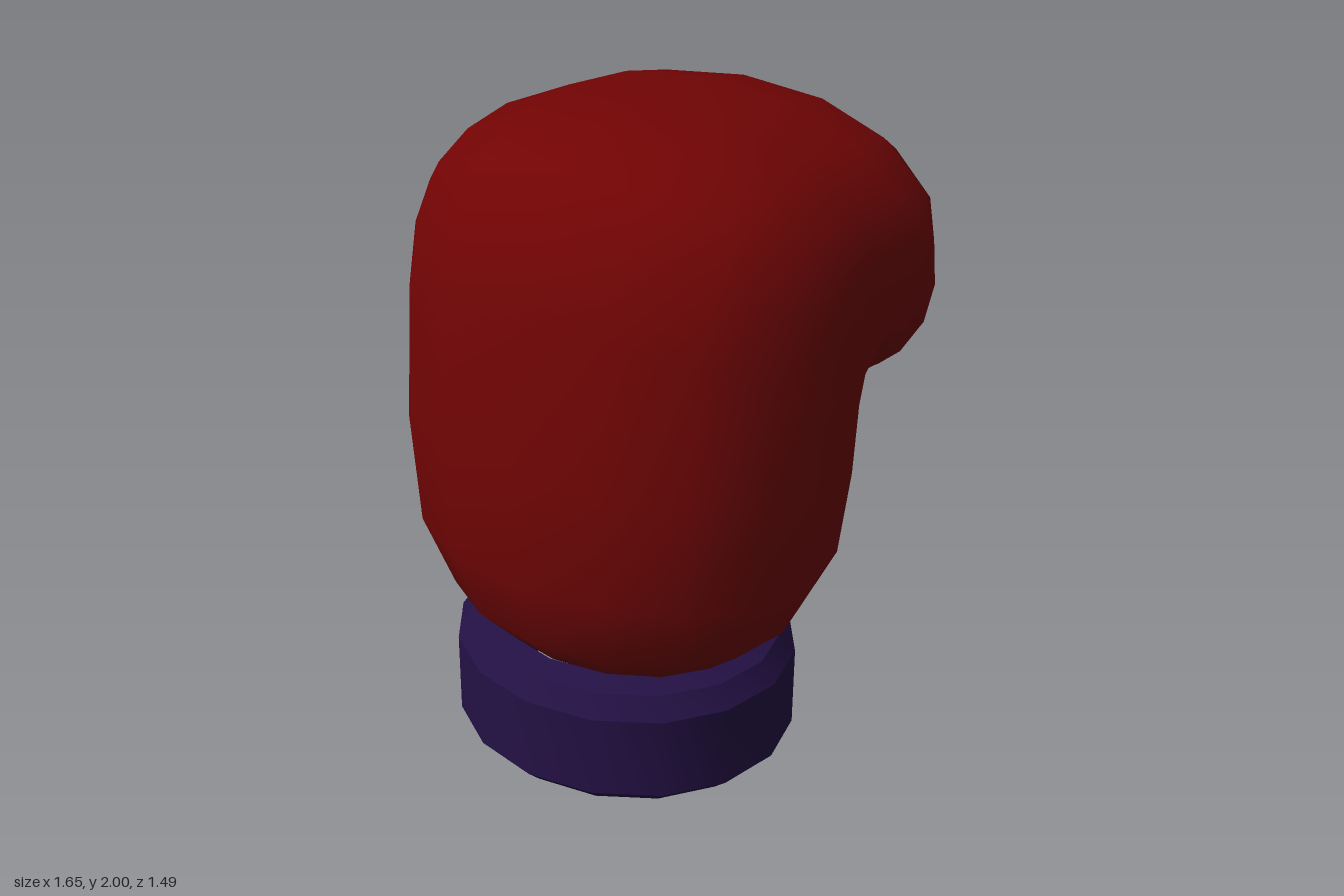
import * as THREE from 'three';
import { toCreasedNormals } from 'three/addons/utils/BufferGeometryUtils.js';

const V = (x, y, z) => new THREE.Vector3(x, y, z);
const SIDES = 16;

// Smooth skin over a list of closed rings, capped at both ends
function loft(rings, startTip, endTip) {
  const n = rings[0].length, index = [];
  const points = [...rings.flat(), startTip, endTip];
  const start = points.length - 2, end = points.length - 1;
  for (let r = 0; r < rings.length - 1; r++) {
    for (let i = 0; i < n; i++) {
      const j = (i + 1) % n;
      const a = r * n + i, b = r * n + j, c = a + n, d = b + n;
      index.push(a, c, b, b, c, d);
    }
  }
  const last = (rings.length - 1) * n;
  for (let i = 0; i < n; i++) {
    const j = (i + 1) % n;
    index.push(start, i, j, end, last + j, last + i);
  }
  const geometry = new THREE.BufferGeometry().setFromPoints(points);
  geometry.setIndex(index);
  geometry.computeVertexNormals();
  return geometry;
}

// Oval around a centre, spanned by two half axes; powers above 2 square off its +v and -v halves
function ring(centre, u, v, upper = 2, lower = 2) {
  return Array.from({ length: SIDES }, (_, i) => {
    const a = (i / SIDES) * Math.PI * 2;
    const p = Math.sin(a) < -1e-6 ? lower : upper;
    const bend = (t) => Math.sign(t) * Math.abs(t) ** (2 / p);
    return centre.clone().addScaledVector(u, bend(Math.cos(a))).addScaledVector(v, bend(Math.sin(a)));
  });
}

// Mitt sections fan around the palm fold:
// [outer z, outer y, inner z, inner y, x min, x max, squareness of the palm side]
function mittGeometry() {
  const sections = [
    [0.56, 0.39, -0.19, 0.39, -0.30, 0.57, 2],
    [0.66, 0.50, -0.28, 0.50, -0.42, 0.70, 2.1],
    [0.74, 0.74, -0.31, 0.68, -0.51, 0.80, 2.3],
    [0.745, 1.10, -0.28, 0.92, -0.54, 0.825, 2.7],
    [0.71, 1.54, -0.24, 1.08, -0.53, 0.825, 3.2],
    [0.64, 1.77, -0.21, 1.15, -0.53, 0.825, 3.8],
    [0.52, 1.90, -0.20, 1.19, -0.54, 0.825, 4.5],
    [0.37, 1.97, -0.20, 1.22, -0.54, 0.825, 5],
    [0.15, 2.00, -0.21, 1.24, -0.55, 0.825, 5],
    [-0.20, 1.985, -0.23, 1.24, -0.55, 0.82, 5],
    [-0.41, 1.945, -0.25, 1.22, -0.54, 0.82, 5],
    [-0.52, 1.88, -0.27, 1.19, -0.53, 0.81, 4.2],
    [-0.65, 1.66, -0.30, 1.14, -0.51, 0.785, 3.2],
    [-0.73, 1.40, -0.34, 1.09, -0.46, 0.73, 2.6],
    [-0.745, 1.17, -0.40, 1.05, -0.38, 0.64, 2.2],
    [-0.68, 0.97, -0.48, 0.97, -0.22, 0.47, 2],
  ];
  const rings = sections.map(([oz, oy, iz, iy, x0, x1, palm]) => ring(
    V((x0 + x1) / 2, (oy + iy) / 2, (oz + iz) / 2),
    V((x1 - x0) / 2, 0, 0),
    V(0, (oy - iy) / 2, (oz - iz) / 2),
    2.12, palm,
  ));
  return loft(rings, V(0.135, 0.39, 0.19), V(0.12, 0.94, -0.58));
}

// Thumb sections along a bent centre line: [x, y, z, depth radius, width radius]
function thumbGeometry() {
  const stations = [
    [0.04, 0.66, 0.12, 0.29, 0.22],
    [-0.20, 0.67, 0.10, 0.31, 0.25],
    [-0.37, 0.74, 0.07, 0.285, 0.275],
    [-0.50, 0.87, -0.03, 0.245, 0.26],
    [-0.605, 1.02, -0.13, 0.195, 0.21],
    [-0.68, 1.14, -0.20, 0.155, 0.152],
    [-0.70, 1.24, -0.24, 0.12, 0.123],
    [-0.70, 1.31, -0.26, 0.08, 0.08],
  ];
  const centres = stations.map(([x, y, z]) => V(x, y, z));
  const rings = stations.map(([, , , depth, width], i) => {
    const before = centres[Math.max(i - 1, 0)];
    const after = centres[Math.min(i + 1, centres.length - 1)];
    const t = after.clone().sub(before).normalize();
    const u = V(0, 0, 1).addScaledVector(t, -t.z).normalize();
    const v = u.clone().cross(t);
    return ring(centres[i], u.multiplyScalar(depth), v.multiplyScalar(width));
  });
  return loft(rings, centres[0], V(-0.70, 1.35, -0.265));
}

// Hollow bevelled cuff, slightly oval
function cuffGeometry() {
  const profile = [
    [0, 0.36], [0.42, 0.36], [0.42, 0.06], [0.45, 0], [0.49, 0],
    [0.545, 0.05], [0.545, 0.31], [0.5, 0.375], [0.42, 0.4],
  ].map(([r, y]) => new THREE.Vector2(r, y));
  const geometry = new THREE.LatheGeometry(profile, SIDES);
  geometry.scale(1, 1, 0.917);
  geometry.translate(0.135, 0, 0.19);
  return toCreasedNormals(geometry, 0.55);
}

export function createModel() {
  const red = new THREE.MeshStandardMaterial({ color: 0x720404 });
  const purple = new THREE.MeshStandardMaterial({ color: 0x241145 });
  const glove = new THREE.Group();
  glove.name = 'boxingGlove';
  const add = (name, geometry, material) => {
    const mesh = new THREE.Mesh(geometry, material);
    mesh.name = name;
    glove.add(mesh);
  };
  add('mitt', mittGeometry(), red);
  add('thumb', thumbGeometry(), red);
  add('cuff', cuffGeometry(), purple);
  return glove;
}
